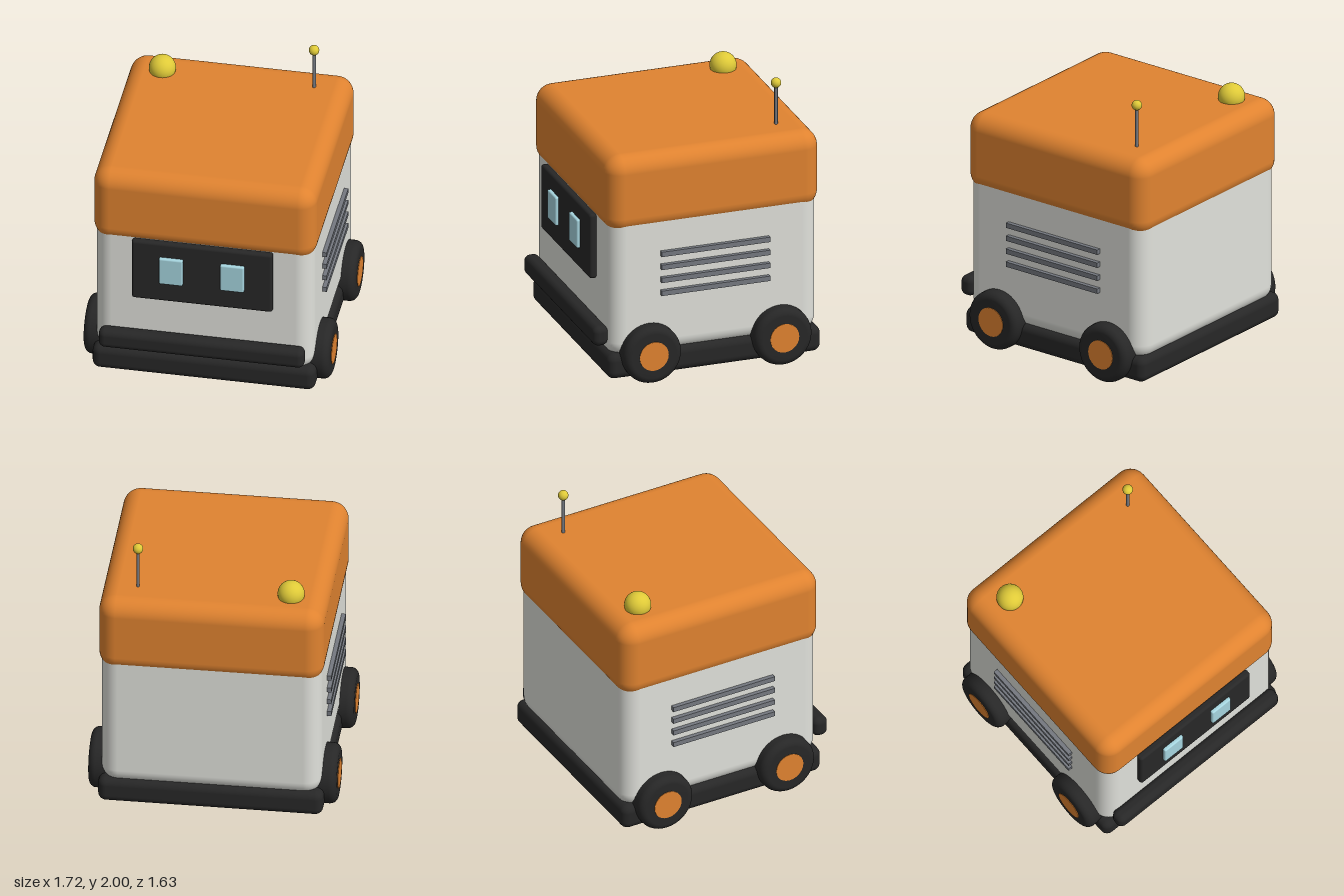
import * as THREE from 'three';
import { RoundedBoxGeometry } from 'three/addons/geometries/RoundedBoxGeometry.js';

const material = (name, color) => {
  const m = new THREE.MeshStandardMaterial({ color });
  m.name = name;
  return m;
};

export function createModel() {
  const orange = material('orange', 0xe08330);
  const shell = material('light grey', 0xe0e1db);
  const black = material('black', 0x272727);
  const steel = material('steel grey', 0x757980);
  const yellow = material('yellow', 0xdfca38);
  const glow = material('pale blue', 0xa6d5df);

  const model = new THREE.Group();
  model.name = 'boxRobot';

  const add = (name, geometry, mat, x, y, z, parent = model) => {
    const mesh = new THREE.Mesh(geometry, mat);
    mesh.name = name;
    mesh.position.set(x, y, z);
    parent.add(mesh);
    return mesh;
  };

  // Rounded box given by its lower and upper corners
  const block = (name, mat, [x0, y0, z0], [x1, y1, z1], radius) =>
    add(name, new RoundedBoxGeometry(x1 - x0, y1 - y0, z1 - z0, 5, radius), mat,
      (x0 + x1) / 2, (y0 + y1) / 2, (z0 + z1) / 2);

  // Main volumes
  block('body', shell, [-0.76, 0.17, -0.8], [0.76, 1.5, 0.72], 0.12);
  block('lid', orange, [-0.775, 1.095, -0.815], [0.775, 1.66, 0.735], 0.12);
  block('base', black, [-0.775, 0.035, -0.815], [0.775, 0.22, 0.735], 0.055);

  // Front details
  block('bumper', black, [-0.715, 0.27, 0.71], [0.715, 0.415, 0.82], 0.045);
  block('facePanel', black, [-0.49, 0.685, 0.715], [0.49, 1.16, 0.77], 0.02);
  for (const side of [-1, 1]) {
    const x = side * 0.213;
    block('eye', glow, [x - 0.083, 0.84, 0.755], [x + 0.083, 1.05, 0.795], 0.012);
  }

  // Tyre profile (radius, distance along axle) with rounded shoulders
  const profile = [new THREE.Vector2(0, -0.085)];
  const shoulder = 0.05;
  for (const end of [-1, 1]) {
    for (let i = 0; i <= 6; i++) {
      const a = (end < 0 ? i / 6 - 1 : i / 6) * Math.PI / 2;
      profile.push(new THREE.Vector2(
        0.21 - shoulder + shoulder * Math.cos(a),
        end * (0.085 - shoulder) + shoulder * Math.sin(a)));
    }
  }
  profile.push(new THREE.Vector2(0, 0.085));
  const tyre = new THREE.LatheGeometry(profile, 40);
  const hub = new THREE.CylinderGeometry(0.105, 0.105, 0.02, 24);

  // Wheels and side vents
  for (const side of [-1, 1]) {
    for (const z of [0.435, -0.515]) {
      const wheel = new THREE.Group();
      wheel.name = 'wheel';
      wheel.position.set(side * 0.77, 0.21, z);
      wheel.rotation.z = -side * Math.PI / 2;
      add('tyre', tyre, black, 0, 0, 0, wheel);
      add('hub', hub, orange, 0, 0.079, 0, wheel);
      model.add(wheel);
    }
    for (let i = 0; i < 4; i++) {
      add('vent', new THREE.BoxGeometry(0.04, 0.036, 0.79), steel,
        side * 0.77, 0.637 + i * 0.096, -0.04);
    }
  }

  // Roof lamp and antenna
  add('roofLamp', new THREE.SphereGeometry(0.093, 32, 20), yellow, -0.53, 1.685, -0.572);
  add('antennaRod', new THREE.CylinderGeometry(0.012, 0.012, 0.34, 16), steel, 0.525, 1.79, -0.572);
  add('antennaTip', new THREE.SphereGeometry(0.036, 24, 16), yellow, 0.525, 1.964, -0.572);

  return model;
}
